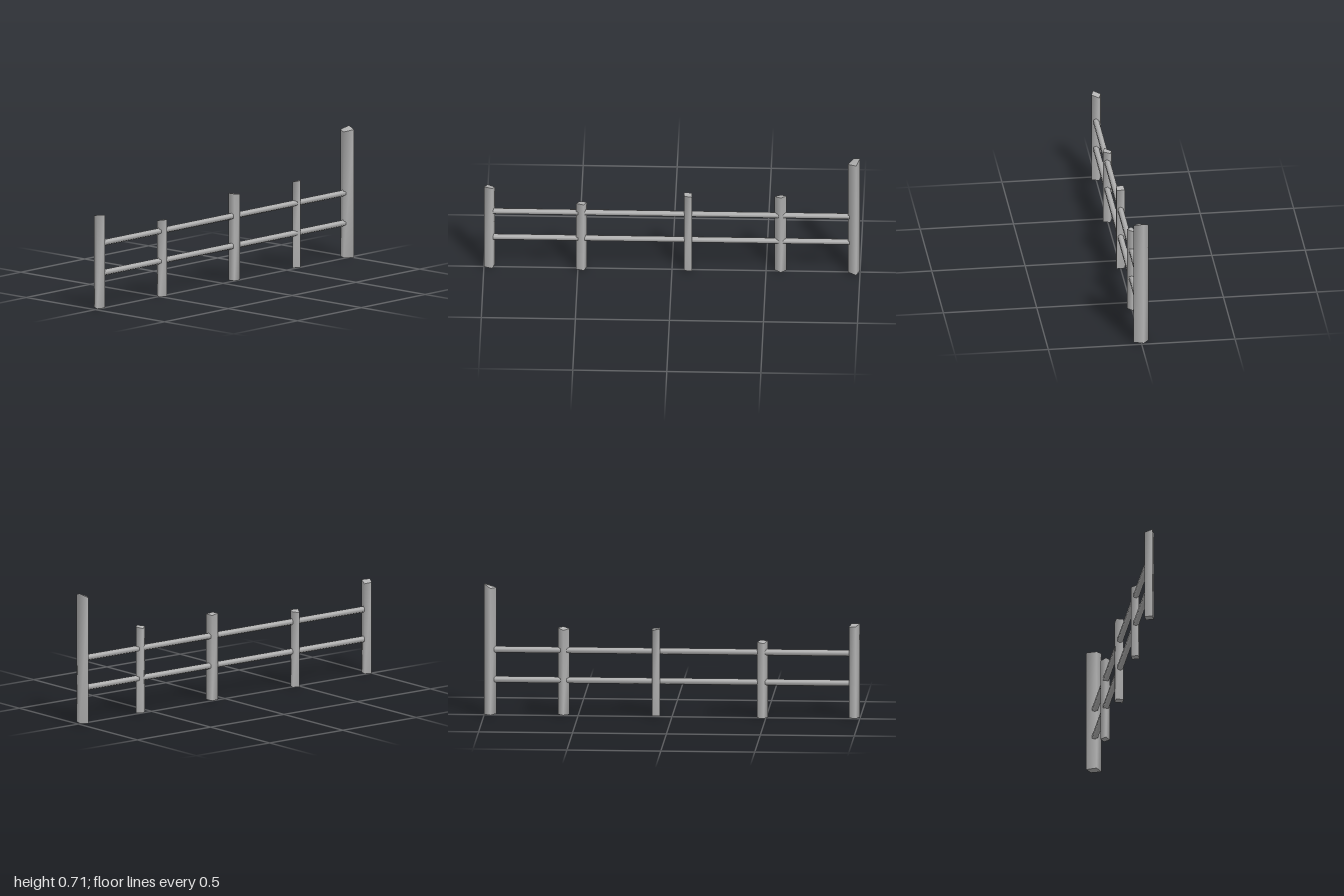
import * as THREE from 'three';

// Hewn post: four footprint corners [x, z, topHeight], clockwise from above
function postGeometry(corners, base) {
  const bottom = corners.flatMap(([x, z]) => [x, base, z]);
  const top = corners.flatMap(([x, z, h]) => [x, h, z]);
  // sides share corners so they shade softly; the caps get their own vertices
  const positions = [...bottom, ...top, ...bottom, ...top];
  const index = [];
  for (let i = 0; i < 4; i++) {
    const j = (i + 1) % 4;
    index.push(j, i, i + 4, j, i + 4, j + 4);
  }
  index.push(8, 9, 10, 8, 10, 11); // underside
  index.push(12, 14, 13, 12, 15, 14); // slanted top
  const g = new THREE.BufferGeometry();
  g.setAttribute('position', new THREE.Float32BufferAttribute(positions, 3));
  g.setIndex(index);
  g.computeVertexNormals();
  return g;
}

export function createModel() {
  const group = new THREE.Group();
  const grey = new THREE.MeshStandardMaterial({ color: 0xb4b4b4 });
  grey.name = 'weathered grey';

  const posts = {
    tallBackPost: [0.005, [[-0.011, -1, 0.712], [0.042, -0.98, 0.698], [0.01, -0.935, 0.687], [-0.042, -0.965, 0.69]]],
    rearPost: [0.006, [[0, -0.608, 0.475], [0.026, -0.58, 0.477], [0, -0.545, 0.471], [-0.025, -0.578, 0.465]]],
    middlePost: [0.006, [[-0.022, -0.105, 0.47], [0.024, -0.108, 0.472], [0.021, -0.066, 0.477], [-0.018, -0.063, 0.477]]],
    shortPost: [0, [[-0.012, 0.453, 0.41], [0.026, 0.468, 0.415], [0.013, 0.51, 0.416], [-0.025, 0.49, 0.405]]],
    frontPost: [0.006, [[-0.014, 0.942, 0.496], [0.027, 0.955, 0.511], [0.012, 1, 0.513], [-0.027, 0.98, 0.502]]],
  };
  for (const [name, [base, corners]] of Object.entries(posts)) {
    const post = new THREE.Mesh(postGeometry(corners, base), grey);
    post.name = name;
    group.add(post);
  }

  // Two long rails running through all the posts
  for (const [name, y] of [['upperRail', 0.354], ['lowerRail', 0.192]]) {
    const rail = new THREE.Mesh(new THREE.CylinderGeometry(0.017, 0.017, 1.92, 6), grey);
    rail.name = name;
    rail.rotation.x = Math.PI / 2;
    rail.position.set(0.002, y, 0.005);
    group.add(rail);
  }
  return group;
}
